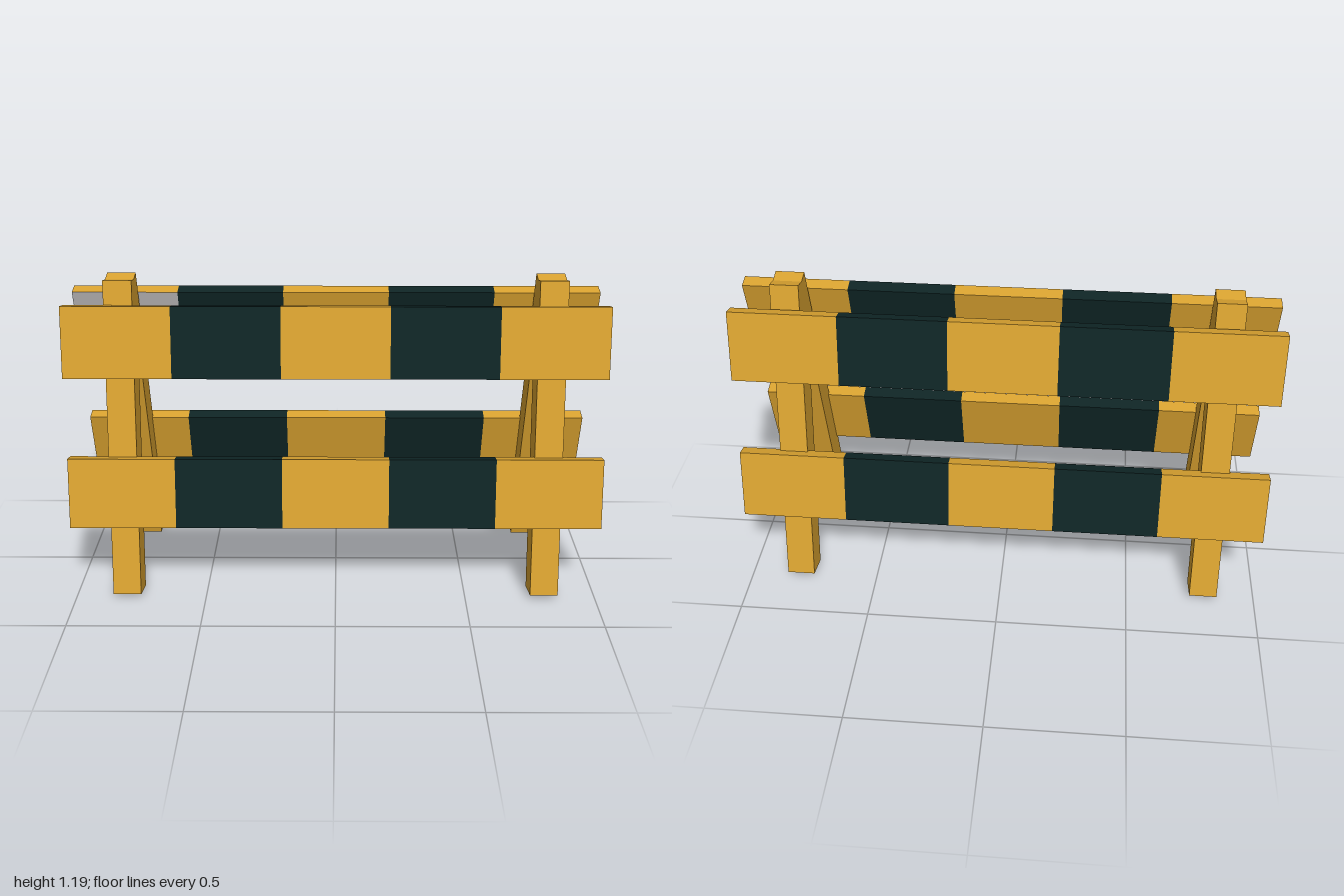
import * as THREE from 'three';

const TILT = THREE.MathUtils.degToRad(13);

const material = (name, color) => {
  const m = new THREE.MeshStandardMaterial({ color });
  m.name = name;
  return m;
};

export function createModel() {
  const yellow = material('amber yellow', 0xd9a230);
  const dark = material('dark stripe', 0x0f2525);
  const grey = material('bare grey', 0xbcbaba);
  const palette = [yellow, dark, grey];

  // Striped board: five columns on each long face, coloured alternately
  function boardGeometry(barePatch) {
    const geo = new THREE.BoxGeometry(2, 0.265, 0.051, 5, 1, 1);
    geo.clearGroups();
    for (let quad = 0; quad < 22; quad++) {
      const isEnd = quad < 2;
      let index = isEnd ? 0 : ((quad - 2) % 5) % 2;
      if (barePatch && quad === 12) index = 2; // first column of the +z face
      geo.addGroup(quad * 6, 6, index);
    }
    return geo;
  }

  const model = new THREE.Group();
  model.name = 'barricade';
  const legGeometry = new THREE.BoxGeometry(0.106, 1.2, 0.106);

  // Two leaning frames that meet at the top
  for (const side of [1, -1]) {
    const label = side > 0 ? 'front' : 'back';
    const frame = new THREE.Group();
    frame.name = label + 'Frame';

    const place = (mesh, name, x, y, z) => {
      mesh.name = label + name;
      mesh.position.set(x, y, side * z);
      mesh.rotation.x = -side * TILT;
      frame.add(mesh);
    };

    place(new THREE.Mesh(legGeometry, yellow), 'LeftLeg', 0.8, 0.598, 0.133);
    place(new THREE.Mesh(legGeometry, yellow), 'RightLeg', -0.8, 0.598, 0.133);

    // The back upper board has one unpainted patch on its inner face
    place(new THREE.Mesh(boardGeometry(side < 0), palette), 'UpperBoard', 0, 0.986, 0.135);
    place(new THREE.Mesh(boardGeometry(false), palette), 'LowerBoard', 0, 0.425, 0.24);
    model.add(frame);
  }
  return model;
}
